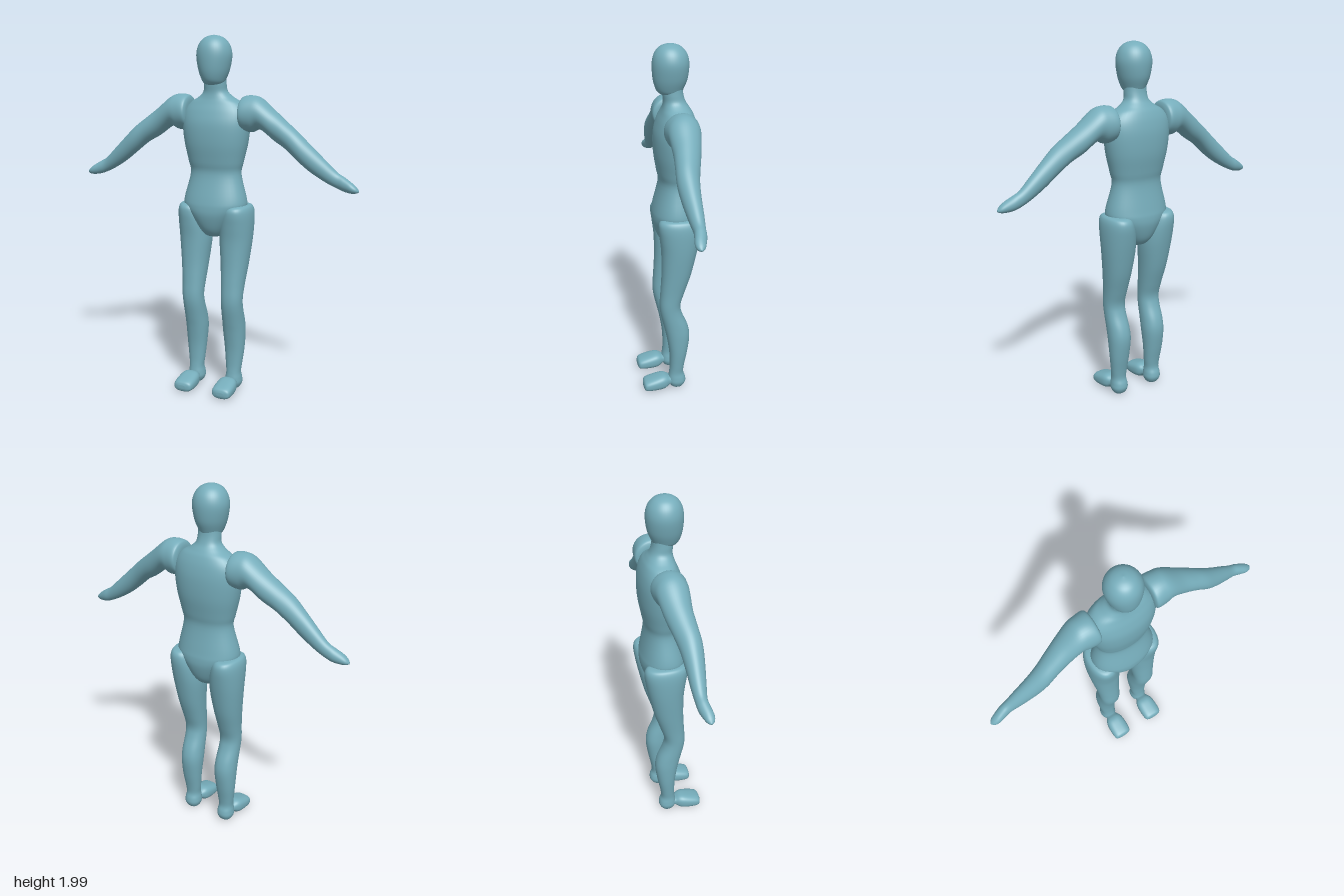
import * as THREE from 'three';

const skin = new THREE.MeshStandardMaterial({ color: 0x76adbb });
skin.name = 'dusty teal';

const SIDES = 40, STEPS = 5;

// Smooth interpolation between four neighbouring values
const spline = (a, b, c, d, t) =>
  0.5 * (2 * b + (c - a) * t + (2 * a - 5 * b + 4 * c - d) * t * t + (3 * b - a - 3 * c + d) * t * t * t);

// Lofts rounded cross-sections along an axis (0 = x, 1 = y, 2 = z).
// Row: [position, min, max, min, max], extents along the next two axes in the order x, y, z, x...
function loft(name, axis, rows, side = 1, power = 2.2) {
  const rings = [];
  rows.forEach((r, i) => {
    if (i === rows.length - 1) return rings.push(r);
    const p = rows[Math.max(i - 1, 0)], n = rows[i + 1], m = rows[Math.min(i + 2, rows.length - 1)];
    for (let s = 0; s < STEPS; s++) rings.push(r.map((v, k) => spline(p[k], v, n[k], m[k], s / STEPS)));
  });
  const pos = [], index = [];
  const add = (t, u, v) => {
    const q = [0, 0, 0];
    q[axis] = t; q[(axis + 1) % 3] = u; q[(axis + 2) % 3] = v;
    pos.push(q[0] * side, q[1], q[2]);
  };
  const tri = (a, b, c) => (side > 0 ? index.push(a, b, c) : index.push(a, c, b));
  const round = (c) => Math.sign(c) * Math.abs(c) ** (2 / power);
  for (const [t, u0, u1, v0, v1] of rings) {
    for (let j = 0; j < SIDES; j++) {
      const a = (j / SIDES) * Math.PI * 2;
      add(t, (u0 + u1) / 2 + round(Math.cos(a)) * (u1 - u0) / 2, (v0 + v1) / 2 + round(Math.sin(a)) * (v1 - v0) / 2);
    }
  }
  const last = rings.length - 1, c0 = rings.length * SIDES;
  for (const [t, u0, u1, v0, v1] of [rings[0], rings[last]]) add(t, (u0 + u1) / 2, (v0 + v1) / 2);
  for (let j = 0; j < SIDES; j++) {
    const k = (j + 1) % SIDES;
    for (let i = 0; i < last; i++) {
      const a = i * SIDES, b = a + SIDES;
      tri(a + j, a + k, b + j);
      tri(a + k, b + k, b + j);
    }
    tri(c0, k, j);
    tri(c0 + 1, last * SIDES + j, last * SIDES + k);
  }
  const geo = new THREE.BufferGeometry();
  geo.setAttribute('position', new THREE.Float32BufferAttribute(pos, 3));
  geo.setIndex(index);
  geo.computeVertexNormals();
  const mesh = new THREE.Mesh(geo, skin);
  mesh.name = name;
  return mesh;
}

export function createModel() {
  const body = new THREE.Group();
  body.name = 'mannequin';

  // Head: y, z back/front, x
  body.add(loft('head', 1, [
    [1.735, -0.055, 0.02, -0.03, 0.03],
    [1.745, -0.075, 0.045, -0.053, 0.053],
    [1.77, -0.088, 0.063, -0.067, 0.067],
    [1.82, -0.107, 0.076, -0.085, 0.085],
    [1.89, -0.115, 0.08, -0.097, 0.097],
    [1.94, -0.106, 0.072, -0.088, 0.088],
    [1.975, -0.082, 0.05, -0.065, 0.065],
    [1.993, -0.052, 0.02, -0.035, 0.035],
    [2.0, -0.018, -0.014, -0.002, 0.002],
  ], 1, 2));

  // Torso with pelvis and neck
  body.add(loft('torso', 1, [
    [0.9, -0.07, 0.0, -0.03, 0.03],
    [0.91, -0.1, 0.03, -0.055, 0.055],
    [0.95, -0.132, 0.06, -0.09, 0.09],
    [1.02, -0.155, 0.083, -0.145, 0.145],
    [1.07, -0.158, 0.086, -0.18, 0.18],
    [1.12, -0.15, 0.078, -0.18, 0.18],
    [1.25, -0.13, 0.048, -0.148, 0.148],
    [1.32, -0.14, 0.058, -0.16, 0.16],
    [1.42, -0.157, 0.073, -0.183, 0.183],
    [1.52, -0.16, 0.073, -0.195, 0.195],
    [1.59, -0.15, 0.056, -0.187, 0.187],
    [1.64, -0.133, 0.036, -0.15, 0.15],
    [1.67, -0.115, 0.026, -0.1, 0.1],
    [1.7, -0.096, 0.022, -0.068, 0.068],
    [1.74, -0.084, 0.026, -0.062, 0.062],
    [1.79, -0.08, 0.03, -0.06, 0.06],
  ]));

  for (const [label, side] of [['left', 1], ['right', -1]]) {
    // Arm with hand: x, y low/high, z back/front
    body.add(loft(label + 'Arm', 0, [
      [0.155, 1.54, 1.63, -0.09, 0.01],
      [0.158, 1.515, 1.66, -0.115, 0.035],
      [0.172, 1.495, 1.679, -0.135, 0.05],
      [0.22, 1.488, 1.684, -0.132, 0.048],
      [0.27, 1.503, 1.668, -0.124, 0.042],
      [0.35, 1.448, 1.604, -0.107, 0.036],
      [0.42, 1.407, 1.55, -0.088, 0.04],
      [0.49, 1.35, 1.496, -0.07, 0.045],
      [0.56, 1.296, 1.432, -0.062, 0.036],
      [0.64, 1.248, 1.358, -0.058, 0.02],
      [0.7, 1.22, 1.303, -0.053, 0.008],
      [0.74, 1.206, 1.28, -0.05, 0.012],
      [0.78, 1.2, 1.256, -0.038, 0.018],
      [0.805, 1.202, 1.237, -0.028, 0.013],
      [0.818, 1.207, 1.222, -0.016, 0.002],
      [0.822, 1.212, 1.216, -0.01, -0.006],
    ], side, 2));

    // Leg with heel
    body.add(loft(label + 'Leg', 1, [
      [0.01, -0.045, -0.02, 0.105, 0.13],
      [0.016, -0.068, -0.002, 0.085, 0.15],
      [0.045, -0.085, 0.014, 0.07, 0.165],
      [0.075, -0.083, 0.014, 0.071, 0.164],
      [0.11, -0.072, 0.009, 0.076, 0.16],
      [0.16, -0.077, 0.006, 0.071, 0.165],
      [0.25, -0.094, 0.01, 0.063, 0.175],
      [0.35, -0.106, 0.026, 0.055, 0.18],
      [0.42, -0.095, 0.042, 0.056, 0.18],
      [0.5, -0.062, 0.06, 0.059, 0.18],
      [0.56, -0.052, 0.065, 0.06, 0.182],
      [0.64, -0.075, 0.06, 0.055, 0.187],
      [0.75, -0.11, 0.054, 0.046, 0.199],
      [0.88, -0.14, 0.055, 0.035, 0.212],
      [0.97, -0.157, 0.065, 0.04, 0.217],
      [1.03, -0.164, 0.072, 0.055, 0.216],
      [1.065, -0.158, 0.068, 0.07, 0.209],
      [1.082, -0.135, 0.045, 0.09, 0.195],
      [1.087, -0.08, -0.01, 0.125, 0.165],
    ], side));

    // Foot: z, x inner/outer, y low/high
    body.add(loft(label + 'Foot', 2, [
      [-0.03, 0.095, 0.14, 0.045, 0.075],
      [-0.01, 0.088, 0.147, 0.036, 0.08],
      [0.012, 0.081, 0.154, 0.032, 0.084],
      [0.035, 0.068, 0.167, 0.016, 0.095],
      [0.06, 0.062, 0.174, 0.009, 0.097],
      [0.1, 0.06, 0.177, 0.007, 0.088],
      [0.14, 0.063, 0.175, 0.008, 0.076],
      [0.158, 0.073, 0.166, 0.014, 0.066],
      [0.165, 0.1, 0.14, 0.03, 0.05],
    ], side, 2.6));
  }
  return body;
}
